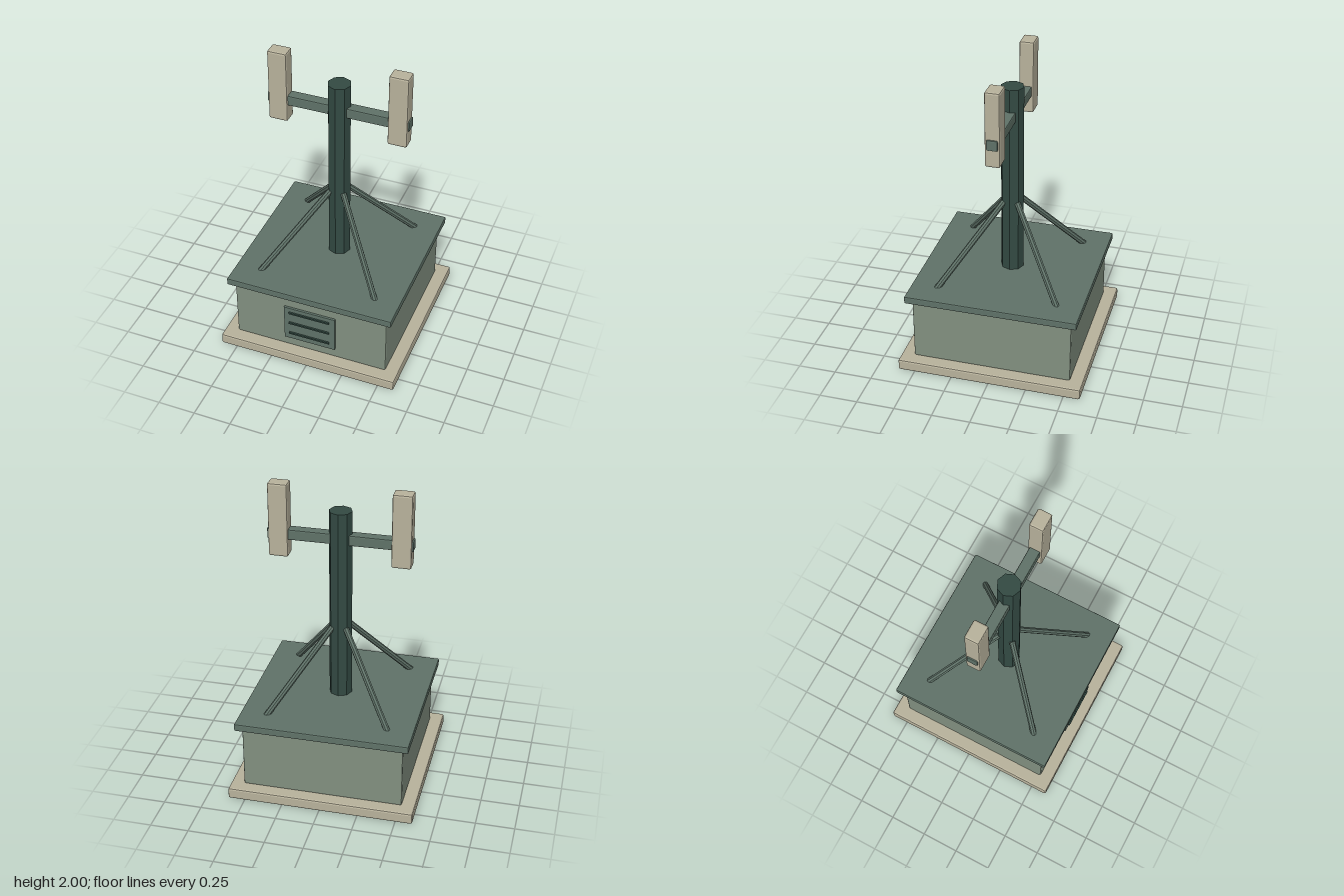
import * as THREE from 'three';
import { RoundedBoxGeometry } from 'three/addons/geometries/RoundedBoxGeometry.js';

const paint = (name, color) => {
  const m = new THREE.MeshStandardMaterial({ color });
  m.name = name;
  return m;
};

export function createModel() {
  const model = new THREE.Group();
  model.name = 'mastStation';
  const stone = paint('pale stone', 0xb8b29c);
  const wall = paint('sage wall', 0x829080);
  const trim = paint('slate green', 0x5f7268);
  const dark = paint('dark green', 0x334a43);

  const add = (name, geometry, material, x, y, z) => {
    // faceted look: unshared corners with face normals
    const g = geometry.index ? geometry.toNonIndexed() : geometry;
    g.computeVertexNormals();
    const mesh = new THREE.Mesh(g, material);
    mesh.name = name;
    mesh.position.set(x, y, z);
    model.add(mesh);
    return mesh;
  };
  // Box with small bevelled edges
  const block = (name, material, w, h, d, x, y, z, bevel = 0.012) =>
    add(name, new RoundedBoxGeometry(w, h, d, 1, bevel), material, x, y, z);

  // Plinth, housing and roof slab
  block('plinth', stone, 1.22, 0.075, 1.22, 0, 0.0375, 0);
  block('housing', wall, 1.05, 0.43, 1.05, 0, 0.285, 0);
  block('roof', trim, 1.13, 0.05, 1.13, 0, 0.525, 0, 0.008);

  // Vent panel on the front with three slats
  block('ventPanel', trim, 0.355, 0.265, 0.03, 0, 0.278, 0.525, 0.004);
  for (const y of [0.2, 0.288, 0.375]) {
    add('ventSlat', new THREE.BoxGeometry(0.28, 0.012, 0.02), dark, 0, y, 0.541);
  }

  // Eight-sided mast
  add('mast', new THREE.CylinderGeometry(0.075, 0.075, 1.305, 8), dark, 0, 1.1925, 0);

  // Diagonal braces from the roof corners to the mast
  const up = new THREE.Vector3(0, 1, 0);
  for (const sx of [-1, 1]) {
    for (const sz of [-1, 1]) {
      const foot = new THREE.Vector3(sx * 0.4, 0.535, sz * 0.4);
      const head = new THREE.Vector3(sx * 0.045, 1.045, sz * 0.045);
      const span = head.clone().sub(foot);
      const mid = foot.clone().add(head).multiplyScalar(0.5);
      const brace = add('brace', new THREE.CylinderGeometry(0.02, 0.02, span.length(), 8),
        trim, mid.x, mid.y, mid.z);
      brace.quaternion.setFromUnitVectors(up, span.normalize());
    }
  }

  // Cross arm carrying two upright antenna panels
  block('crossArm', trim, 0.935, 0.07, 0.072, 0, 1.66, 0, 0.008);
  for (const side of [-1, 1]) {
    block('antennaPanel', stone, 0.127, 0.49, 0.096, side * 0.394, 1.755, 0);
  }
  return model;
}
